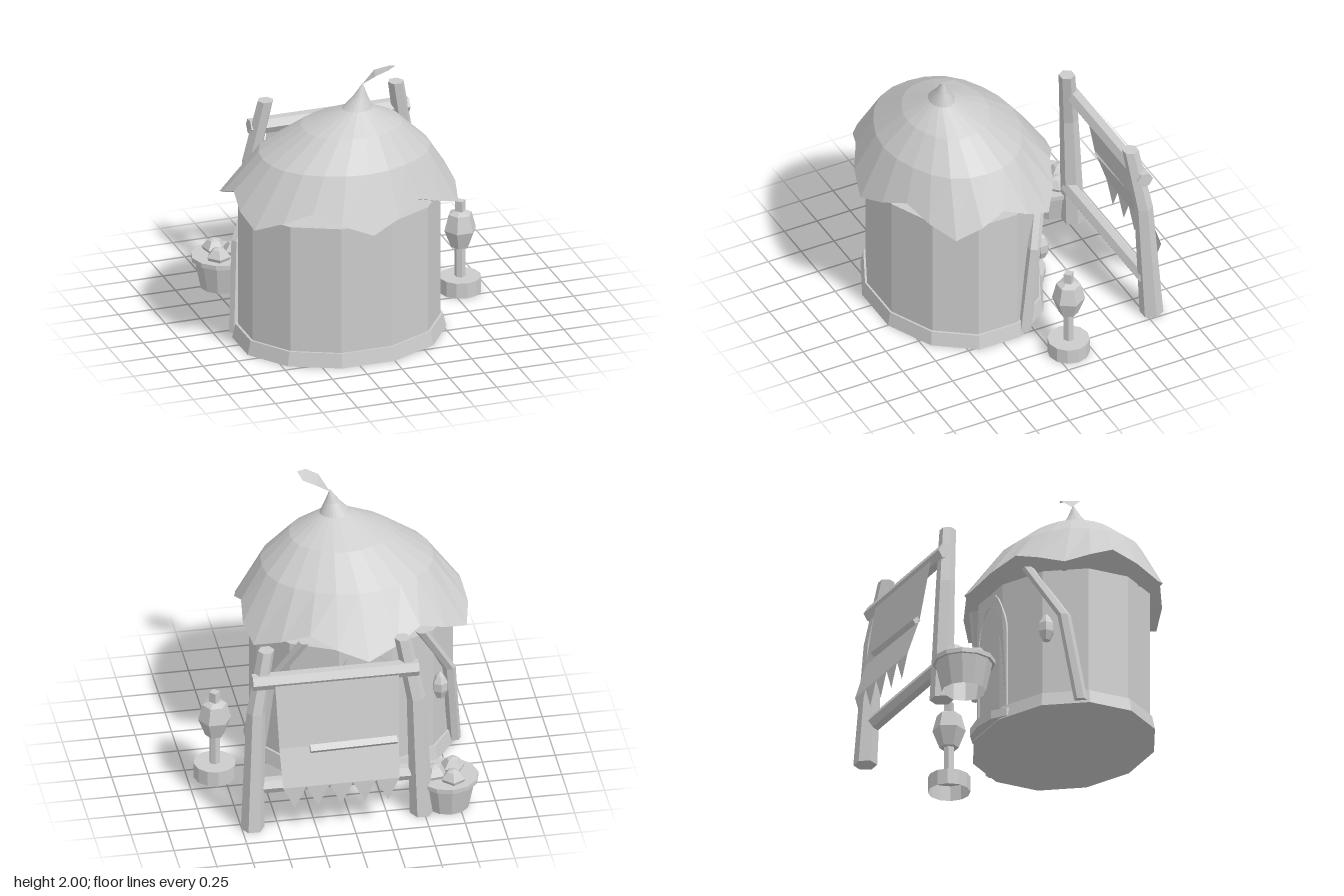
import * as THREE from 'three';

const grey = new THREE.MeshStandardMaterial({ color: 0xcccccc, side: THREE.DoubleSide });
grey.name = 'plain grey';

const HUT_X = -0.19, HUT_Z = 0.27, FRAME_X = 0.095;

// Faceted mesh with hard edges
function add(parent, name, geometry) {
  const g = geometry.index ? geometry.toNonIndexed() : geometry;
  g.computeVertexNormals();
  const mesh = new THREE.Mesh(g, grey);
  mesh.name = name;
  parent.add(mesh);
  return mesh;
}

function fromTriangles(tris) {
  const g = new THREE.BufferGeometry();
  g.setAttribute('position', new THREE.Float32BufferAttribute(tris.flat(2), 3));
  return g;
}

// Skin between rings of points, listed from bottom to top
function loft(rings, capped) {
  const tris = [], n = rings[0].length;
  for (let i = 0; i < rings.length - 1; i++) {
    for (let j = 0; j < n; j++) {
      const k = (j + 1) % n, a = rings[i], b = rings[i + 1];
      tris.push([a[j], a[k], b[k]], [a[j], b[k], b[j]]);
    }
  }
  if (capped) {
    const lo = rings[0], hi = rings[rings.length - 1];
    for (let j = 1; j < n - 1; j++) tris.push([lo[0], lo[j + 1], lo[j]], [hi[0], hi[j], hi[j + 1]]);
  }
  return fromTriangles(tris);
}

// Horizontal ring; shape(i) gives [radius factor, height]
function ring(cx, cz, rx, rz, n, shape, turn = 0) {
  return Array.from({ length: n }, (_, i) => {
    const a = turn + i * 2 * Math.PI / n, [f, y] = shape(i);
    return [cx + Math.sin(a) * rx * f, y, cz + Math.cos(a) * rz * f];
  });
}

// Bent hexagonal timber through [x, y, z, radius] stations
function timber(stations) {
  return loft(stations.map(([x, y, z, r]) => ring(x, z, r, r, 6, () => [1, y], Math.PI / 6)), true);
}

// Faceted turned part
function turned(profile, sides, turn = 0) {
  return new THREE.LatheGeometry(profile.map(p => new THREE.Vector2(...p)), sides).rotateY(turn);
}

// Arch outline drawn into a shape or hole
function arch(path, w, spring, rise) {
  path.moveTo(-w, 0);
  path.lineTo(w, 0);
  path.lineTo(w, spring);
  path.absellipse(0, spring, w, rise, 0, Math.PI, false);
  path.closePath();
  return path;
}

// Thin plate on the back wall, bent where the wall turns
function backPlate(shape, z) {
  const g = new THREE.ExtrudeGeometry(shape, { depth: 0.03, bevelEnabled: false, curveSegments: 8 });
  g.rotateY(Math.PI).translate(0, 0.04, z + 0.03);
  const p = g.attributes.position;
  for (let i = 0; i < p.count; i++) {
    p.setZ(i, p.getZ(i) + 0.48 * Math.max(0, Math.abs(p.getX(i)) - 0.18));
  }
  return g.translate(HUT_X, 0, 0);
}

function buildHut() {
  const hut = new THREE.Group();
  hut.name = 'hut';
  const drum = (name, top, bottom, y0, y1) => {
    const g = new THREE.CylinderGeometry(top, bottom, y1 - y0, 12).rotateY(Math.PI / 12);
    add(hut, name, g.scale(1, 1, 0.82).translate(HUT_X, (y0 + y1) / 2, HUT_Z));
  };
  drum('footing', 0.715, 0.738, 0, 0.1);
  drum('wall', 0.698, 0.698, 0.1, 1.015);

  // Six-lobed thatch: flat underside, wavy rim, then rings leaning towards the peak
  const lobe = i => [0, 1, 2, 1][i % 4];
  const level = (x, z, f, y, wave = 0) =>
    ring(x, z, 0.86 * f, 0.703 * f, 24, i => [1 - lobe(i) * wave, y]);
  add(hut, 'thatchRoof', loft([
    level(HUT_X, HUT_Z, 0.005, 1.024),
    ring(HUT_X, 0.264, 0.845, 0.703, 24, i => [1 - lobe(i) * 0.053, 1 + lobe(i) * 0.075]),
    level(-0.17, 0.314, 0.695, 1.38, 0.01),
    level(-0.13, 0.35, 0.412, 1.575, 0.01),
    level(-0.105, 0.395, 0.125, 1.7),
    level(-0.085, 0.4, 0.06, 1.78),
    level(-0.07, 0.4, 0.004, 1.87),
  ], false));

  // Curled leaf on the peak
  const base = [-0.07, 1.86, 0.39], a = [0.03, 1.94, 0.355], b = [-0.005, 1.95, 0.485];
  const c = [0.12, 1.97, 0.39], d = [0.08, 1.99, 0.505], tip = [0.145, 2, 0.465];
  add(hut, 'peakLeaf', fromTriangles([[base, b, a], [a, b, d], [a, d, c], [c, d, tip]]));

  // Back door with frame, knob and step
  const surround = arch(new THREE.Shape(), 0.225, 0.6, 0.36);
  surround.holes.push(arch(new THREE.Path(), 0.16, 0.58, 0.29));
  add(hut, 'doorFrame', backPlate(surround, -0.295));
  add(hut, 'door', backPlate(arch(new THREE.Shape(), 0.16, 0.58, 0.29), -0.289));
  add(hut, 'doorKnob', new THREE.IcosahedronGeometry(0.024, 0).scale(0.8, 1, 0.5).translate(-0.13, 0.295, -0.34));
  add(hut, 'doorStep', new THREE.CylinderGeometry(0.27, 0.27, 0.06, 10)
    .scale(1, 1, 0.5).translate(HUT_X, 0.038, -0.25));

  // Bent props against the wall, each with a hanging lantern
  for (const s of [1, -1]) {
    const mx = x => HUT_X + s * (x - HUT_X);
    add(hut, 'wallProp', timber([
      [mx(0.482), 0.02, 0.065, 0.046], [mx(0.43), 0.65, -0.035, 0.045], [mx(0.21), 1.06, -0.2, 0.042],
    ]));
    add(hut, 'hangingLantern', turned([
      [0, -0.1], [0.028, -0.09], [0.055, -0.03], [0.055, 0.03], [0.028, 0.08], [0, 0.11],
    ], 6).translate(mx(0.35), 0.57, -0.13));
  }
  return hut;
}

function buildFrame() {
  const frame = new THREE.Group();
  frame.name = 'bannerFrame';
  for (const s of [1, -1]) {
    const mx = x => FRAME_X + s * x;
    add(frame, 'framePost', timber([
      [mx(0.58), 0, -0.8, 0.081], [mx(0.55), 0.89, -0.755, 0.064], [mx(0.468), 1.335, -0.697, 0.056],
    ]));
  }
  for (const [name, y, r] of [['topBeam', 1.125, 0.058], ['lowerBeam', 0.3, 0.055]]) {
    add(frame, name, new THREE.CylinderGeometry(r, r, 1.14, 6)
      .rotateZ(Math.PI / 2).translate(FRAME_X + 0.005, y, -0.757));
  }

  // Slightly sagging cloth with a toothed lower hem; rows are [half width, y, z]
  const rows = [[0.425, 1.12, -0.8], [0.41, 0.655, -0.88], [0.4, 0.39, -0.966]];
  const P = (x, y, z) => [FRAME_X + x, y, z];
  const tris = [];
  for (let i = 0; i < 2; i++) {
    const [w0, ...t] = rows[i], [w1, ...u] = rows[i + 1];
    tris.push([P(w0, ...t), P(w1, ...u), P(-w1, ...u)], [P(w0, ...t), P(-w1, ...u), P(-w0, ...t)]);
  }
  const [w, ...hem] = rows[2], teeth = 5;
  for (let i = 0; i < teeth; i++) {
    const x0 = -w + i * 2 * w / teeth, x1 = x0 + 2 * w / teeth;
    tris.push([P(x1, ...hem), P((x0 + x1) / 2, 0.23, -0.97), P(x0, ...hem)]);
  }
  add(frame, 'bannerCloth', fromTriangles(tris));
  const rod = add(frame, 'bannerRod', new THREE.BoxGeometry(0.6, 0.035, 0.048).rotateX(-0.7));
  rod.rotation.y = 0.03;
  rod.position.set(0, 0.653, -0.905);
  return frame;
}

function buildLamp() {
  const lamp = new THREE.Group();
  lamp.name = 'standingLamp';
  add(lamp, 'lampBase', turned([[0.144, 0], [0.144, 0.11], [0, 0.11]], 12));
  add(lamp, 'lampPole', new THREE.CylinderGeometry(0.038, 0.038, 0.24, 6).translate(0, 0.22, 0));
  add(lamp, 'lampBody', turned([
    [0, 0.325], [0.065, 0.33], [0.113, 0.455], [0.083, 0.57], [0.04, 0.59], [0, 0.59],
  ], 6, Math.PI / 6));
  add(lamp, 'lampChimney', new THREE.CylinderGeometry(0.037, 0.037, 0.085, 4).translate(0, 0.6225, 0));
  lamp.position.set(0.811, 0, -0.1);
  return lamp;
}

function buildBasket() {
  const basket = new THREE.Group();
  basket.name = 'basket';
  add(basket, 'basketBody', new THREE.CylinderGeometry(0.192, 0.15, 0.2, 12, 1, true).translate(0, 0.1, 0));
  add(basket, 'basketRim', new THREE.CylinderGeometry(0.212, 0.212, 0.032, 12).translate(0, 0.216, 0));
  [[-0.025, -0.085], [0.09, 0], [-0.05, 0.075]].forEach(([x, z], i) => {
    add(basket, 'produce', turned([[0.07, 0.22], [0.085, 0.255], [0.045, 0.305], [0, 0.32]], 5, 0.5 + i * 0.9)
      .translate(x, 0, z));
  });
  basket.position.set(-0.676, 0, -0.725);
  return basket;
}

export function createModel() {
  const model = new THREE.Group();
  model.name = 'thatchedHut';
  model.add(buildHut(), buildFrame(), buildLamp(), buildBasket());
  return model;
}
